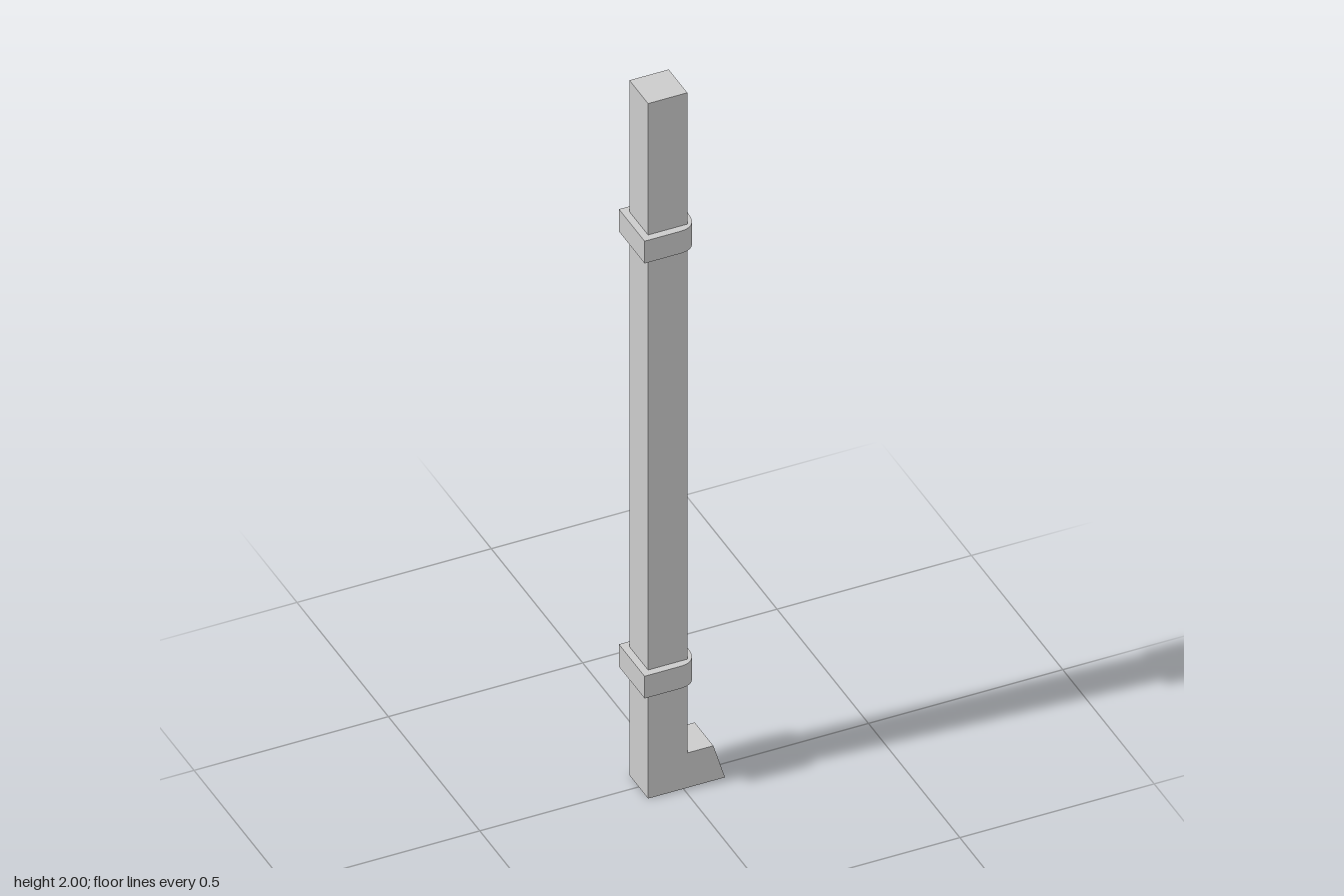
import * as THREE from 'three';
import { toCreasedNormals } from 'three/addons/utils/BufferGeometryUtils.js';

const grey = new THREE.MeshStandardMaterial({ color: 0xcccccc });

// Square tube swept through sections: outer corner (x, y), inner corner (x, y), half width in z
function sweepSquare(sections) {
  const pos = [], idx = [];
  for (const [ox, oy, ix, iy, w] of sections) {
    pos.push(ox, oy, -w, ox, oy, w, ix, iy, w, ix, iy, -w);
  }
  for (let i = 0; i < sections.length - 1; i++) {
    for (let k = 0; k < 4; k++) {
      const a = i * 4 + k, b = i * 4 + (k + 1) % 4;
      idx.push(a, a + 4, b + 4, a, b + 4, b);
    }
  }
  const e = (sections.length - 1) * 4;
  idx.push(0, 1, 2, 0, 2, 3, e, e + 2, e + 1, e, e + 3, e + 2);
  const geo = new THREE.BufferGeometry();
  geo.setAttribute('position', new THREE.Float32BufferAttribute(pos, 3));
  geo.setIndex(idx);
  const flat = geo.toNonIndexed();
  flat.computeVertexNormals();
  return flat;
}

// Bracket outline: square at the wall side, rounded at the outlet side
function bracketGeometry(height) {
  const s = new THREE.Shape();
  s.moveTo(-0.109, -0.07);
  s.lineTo(-0.018, -0.07);
  s.bezierCurveTo(0.016, -0.07, 0.03, -0.05, 0.03, -0.012);
  s.lineTo(0.03, 0.012);
  s.bezierCurveTo(0.03, 0.05, 0.016, 0.07, -0.018, 0.07);
  s.lineTo(-0.109, 0.07);
  s.closePath();
  const geo = new THREE.ExtrudeGeometry(s, { depth: height, bevelEnabled: false, curveSegments: 12 });
  geo.rotateX(-Math.PI / 2);
  return toCreasedNormals(geo, 0.6);
}

export function createModel() {
  const group = new THREE.Group();

  // Downpipe with mitred elbow, slanted outlet and hollow mouth
  const pipe = new THREE.Mesh(sweepSquare([
    [-0.091, 2, 0.01, 2, 0.051],
    [-0.091, 0, 0.01, 0.1, 0.051],
    [0.107, 0, 0.077, 0.1, 0.051],
    [0.103, 0.013, 0.081, 0.088, 0.042],
    [0.01, 0.013, 0.01, 0.088, 0.042],
  ]), grey);
  pipe.name = 'downpipe';
  group.add(pipe);

  // Wall brackets
  const bracketGeo = bracketGeometry(0.064);
  [['lowerBracket', 0.306], ['upperBracket', 1.558]].forEach(([name, y]) => {
    const bracket = new THREE.Mesh(bracketGeo, grey);
    bracket.name = name;
    bracket.position.y = y;
    group.add(bracket);
  });

  return group;
}
